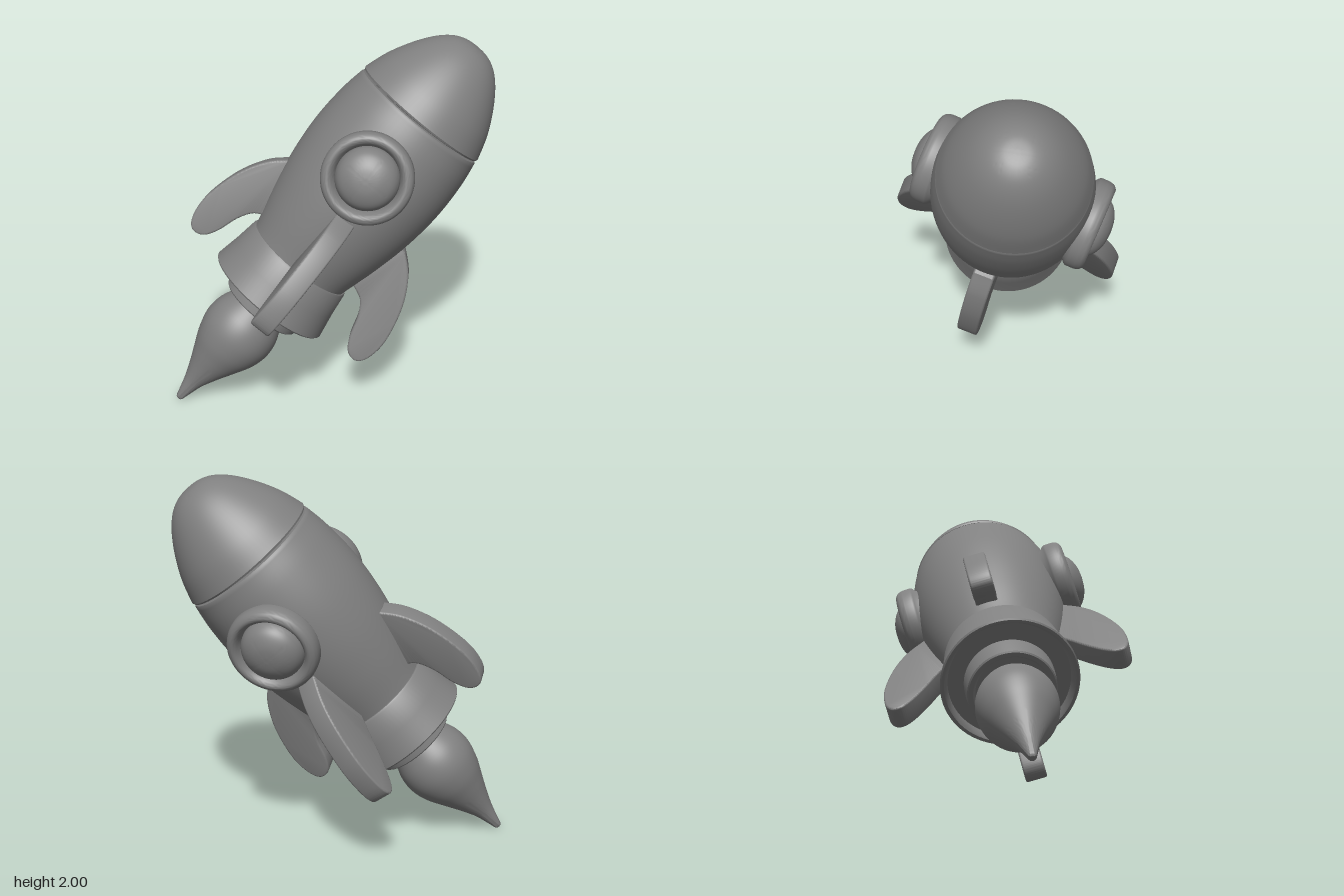
import * as THREE from 'three';
import { toCreasedNormals } from 'three/addons/utils/BufferGeometryUtils.js';

const material = new THREE.MeshStandardMaterial({ color: 0x808080 });
const vectors = (points) => points.map(([x, y]) => new THREE.Vector2(x, y));
const smooth = (points, n = 32) => new THREE.SplineCurve(vectors(points)).getPoints(n)
  .map((p) => new THREE.Vector2(Math.max(p.x, 0), p.y));

// Turned part, profile of [radius, height] from the bottom up
function turned(name, profile, crease = 0.6) {
  const geometry = toCreasedNormals(new THREE.LatheGeometry(profile, 72), crease);
  const mesh = new THREE.Mesh(geometry, material);
  mesh.name = name;
  return mesh;
}

// Flat fin, outline from the lower root round the tip to the upper root
function createFin(outline) {
  const shape = new THREE.Shape();
  shape.moveTo(0.24, outline[0][1]);
  shape.lineTo(...outline[0]);
  shape.splineThru(vectors(outline.slice(1)));
  shape.lineTo(0.24, 0.69);
  const bevel = 0.01, depth = 0.095;
  const geometry = new THREE.ExtrudeGeometry(shape, {
    depth, curveSegments: 30, bevelEnabled: true, bevelSize: bevel,
    bevelThickness: bevel, bevelOffset: -bevel, bevelSegments: 3,
  });
  geometry.translate(0, 0, -depth / 2);
  return toCreasedNormals(geometry, 0.6);
}

function createPorthole(angle) {
  const group = new THREE.Group();
  group.name = 'porthole';
  const ring = vectors([[0.205, 0.30], [0.217, 0.365], [0.235, 0.382], [0.24, 0.392], [0.24, 0.43]])
    .concat(smooth([[0.24, 0.435], [0.232, 0.463], [0.21, 0.48], [0.19, 0.476], [0.174, 0.455]], 14),
      vectors([[0.165, 0.42]]));
  group.add(turned('portholeRing', ring, 0.8));
  group.add(turned('portholeGlass', smooth([[0.168, 0.41], [0.16, 0.46], [0.13, 0.502],
    [0.07, 0.532], [0, 0.541]], 20), 1.0));
  group.rotation.set(Math.PI / 2, angle, 0, 'YXZ');
  return group;
}

export function createModel() {
  const rocket = new THREE.Group();
  rocket.name = 'rocket';

  // Hull, pinched in at the seam below the nose
  const hull = smooth([[0.29, 0.22], [0.307, 0.30], [0.354, 0.48], [0.392, 0.665], [0.413, 0.84],
    [0.417, 0.99], [0.406, 1.15], [0.386, 1.27]], 40);
  rocket.add(turned('hull', hull.concat(vectors([[0.380, 1.279], [0.36, 1.283], [0.3, 1.284]]))));

  // Blunt nose cone
  const nose = vectors([[0.30, 1.281], [0.36, 1.285], [0.38, 1.289]]).concat(
    smooth([[0.385, 1.299], [0.345, 1.42], [0.285, 1.538], [0.215, 1.64], [0.145, 1.708],
      [0.075, 1.742], [0, 1.751]], 36));
  rocket.add(turned('noseCone', nose, 0.7));

  // Flared tail collar with a hollow underside, and the nozzle inside it
  rocket.add(turned('tailCollar', vectors([[0, 0.04], [0.315, 0.04], [0.33, 0.006], [0.337, 0],
    [0.35, 0], [0.357, 0.008], [0.332, 0.14], [0.314, 0.265], [0.308, 0.275], [0.27, 0.28]])));
  const nozzle = turned('nozzle', vectors([[0, -0.06], [0.185, -0.06], [0.195, -0.08], [0.20, -0.085],
    [0.222, -0.085], [0.229, -0.078], [0.234, 0.0], [0.234, 0.09]]));
  nozzle.position.x = 0.01;
  rocket.add(nozzle);

  // Exhaust flame, its tail bent slightly sideways
  const flame = turned('flame', smooth([[0, -0.791], [0.018, -0.785], [0.03, -0.745], [0.056, -0.655],
    [0.097, -0.56], [0.141, -0.47], [0.183, -0.38], [0.207, -0.285], [0.2, -0.195], [0.165, -0.11],
    [0.12, -0.035]], 48), 1.0);
  const position = flame.geometry.attributes.position;
  for (let i = 0; i < position.count; i++) {
    const t = Math.max(0, -0.35 - position.getY(i));
    position.setX(i, position.getX(i) - 0.016 * Math.min(1, t / 0.3));
  }
  rocket.add(flame);

  // Four swept fins: a hooked pair at the sides, a longer pair at front and back
  const sideFin = createFin([[0.30, 0.345], [0.37, 0.31], [0.42, 0.23], [0.46, 0.11],
    [0.51, 0.038], [0.575, 0.03], [0.616, 0.095], [0.624, 0.225], [0.575, 0.42], [0.49, 0.575],
    [0.39, 0.67]]);
  const longFin = createFin([[0.30, 0.31], [0.365, 0.22], [0.42, 0.137], [0.495, 0.04],
    [0.56, -0.012], [0.612, 0.0], [0.638, 0.08], [0.63, 0.235], [0.57, 0.43], [0.49, 0.57],
    [0.39, 0.67]]);
  for (let i = 0; i < 4; i++) {
    const fin = new THREE.Mesh(i % 2 ? longFin : sideFin, material);
    fin.name = 'fin';
    fin.rotation.y = (i % 2 ? -0.2 : -0.22) + i * Math.PI / 2;
    fin.position.x = 0.022;
    rocket.add(fin);
  }

  // Portholes on opposite sides
  for (const turn of [0, Math.PI]) {
    const porthole = createPorthole(-0.26 + turn);
    porthole.position.set(-0.012, 0.915, 0);
    rocket.add(porthole);
  }

  // Lean the upright rocket along its flight direction
  const up = new THREE.Vector3(0.63, 0.763, -0.147).normalize();
  const side = new THREE.Vector3(up.y, -up.x, 0).normalize();
  const out = new THREE.Vector3().crossVectors(side, up).normalize();
  rocket.quaternion.setFromRotationMatrix(new THREE.Matrix4().makeBasis(side, up, out));
  rocket.position.set(-0.334, 0.603, 0.02);

  const model = new THREE.Group();
  model.name = 'model';
  model.add(rocket);
  return model;
}
